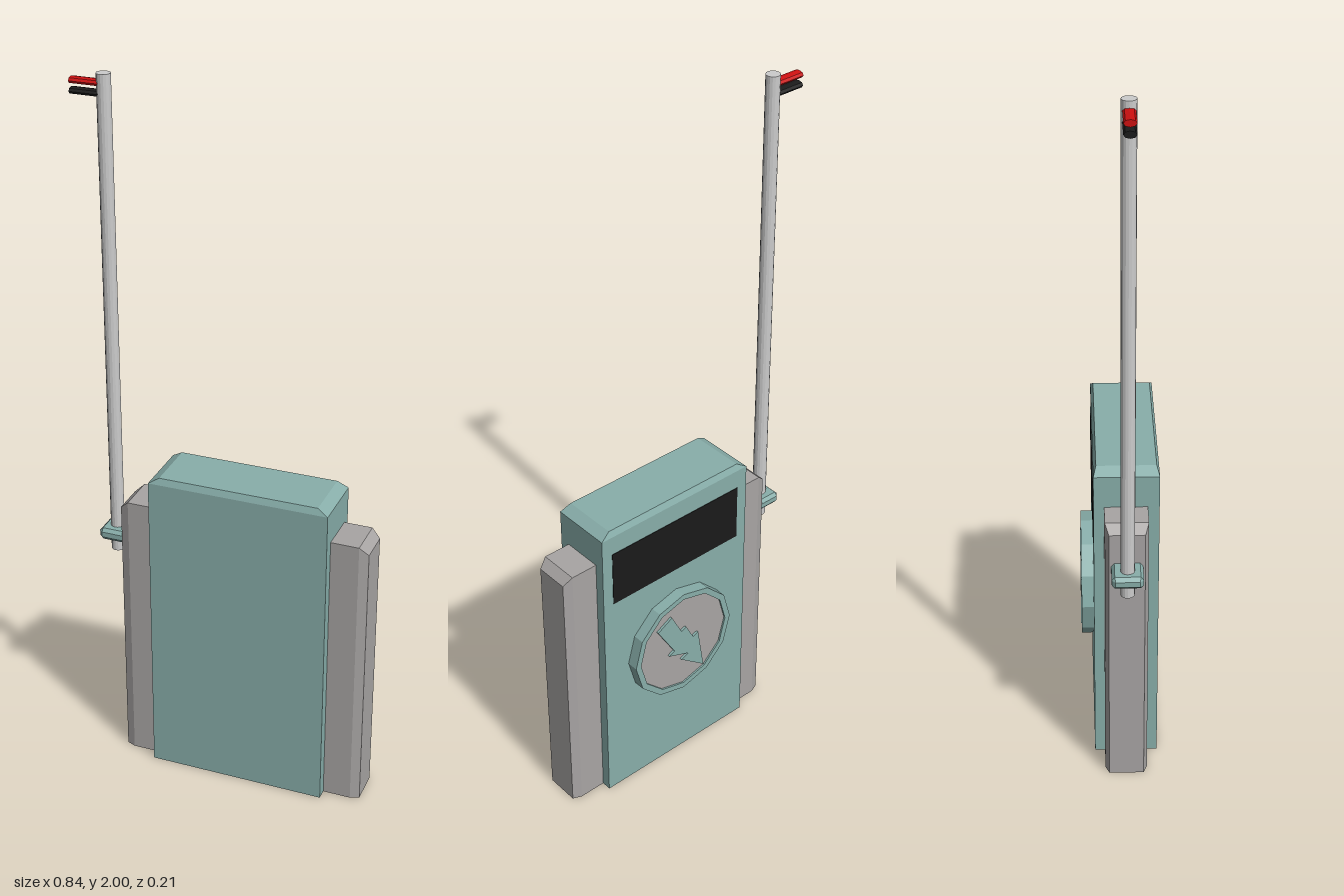
import * as THREE from 'three';
import { ConvexGeometry } from 'three/addons/geometries/ConvexGeometry.js';

const mat = (color) => new THREE.MeshStandardMaterial({ color, flatShading: true });
const teal = mat(0x88aeaa);
const grey = mat(0xa8a5a4);
const metal = mat(0xcccccc);
const black = mat(0x1a1a1a);
const red = mat(0xcc1010);

function add(parent, name, geometry, material, x = 0, y = 0, z = 0) {
  const mesh = new THREE.Mesh(geometry, material);
  mesh.name = name;
  mesh.position.set(x, y, z);
  parent.add(mesh);
  return mesh;
}

// Solid from stacked sections [y, halfX, halfZ, cornerX, cornerZ], corners cut off
function chamferedBlock(sections) {
  const points = [];
  for (const [y, hx, hz, cx = 0, cz = 0] of sections) {
    for (const sx of [-1, 1]) for (const sz of [-1, 1]) {
      points.push(new THREE.Vector3(sx * (hx - cx), y, sz * hz));
      if (cx) points.push(new THREE.Vector3(sx * hx, y, sz * (hz - cz)));
    }
  }
  return new ConvexGeometry(points);
}

const extrude = (shape, depth) =>
  new THREE.ExtrudeGeometry(shape, { depth, bevelEnabled: false });

function polygon(radius, sides) {
  return Array.from({ length: sides }, (_, i) => {
    const a = (i / sides) * Math.PI * 2;
    return new THREE.Vector2(Math.cos(a) * radius, Math.sin(a) * radius);
  });
}

export function createModel() {
  const model = new THREE.Group();
  model.name = 'chargingStation';

  // Cabinet with a chamfered top
  add(model, 'cabinet', chamferedBlock([
    [0, 0.255, 0.0875], [0.912, 0.255, 0.0875], [0.93, 0.225, 0.08],
  ]), teal, 0.06, 0, 0.0165);

  // Lower inner core that shows as a grey panel on both sides
  add(model, 'sidePanels', chamferedBlock([
    [0, 0.3575, 0.058, 0.025, 0.01],
    [0.797, 0.3575, 0.058, 0.025, 0.01],
    [0.82, 0.3325, 0.058],
  ]), grey, 0.0615, 0, 0.015);

  // Display on the back
  add(model, 'display', new THREE.BoxGeometry(0.444, 0.17, 0.004), black, 0.06, 0.77, -0.0705);

  // Round emblem on the back: rim, recessed plate and bolt
  const emblem = new THREE.Group();
  emblem.name = 'emblem';
  emblem.position.set(0.06, 0.44, -0.07);
  emblem.rotation.y = Math.PI;
  model.add(emblem);

  const rim = new THREE.Shape(polygon(0.174, 12));
  rim.holes.push(new THREE.Path(polygon(0.156, 12)));
  add(emblem, 'emblemRim', extrude(rim, 0.034), teal);
  add(emblem, 'emblemPlate', extrude(new THREE.Shape(polygon(0.158, 12)), 0.029), grey);

  const bolt = new THREE.Shape([
    [-0.095, 0.088], [-0.045, 0.116], [-0.01, 0.046], [0.008, 0.052],
    [0.033, 0.002], [0.052, 0.008], [0.073, -0.127], [-0.01, -0.06],
    [0.016, -0.05], [-0.055, -0.022], [-0.036, -0.012],
  ].map(([x, y]) => new THREE.Vector2(x, y)));
  bolt.closePath();
  // the bolt stands just proud of the rim
  add(emblem, 'emblemBolt', extrude(bolt, 0.008), teal, 0, 0, 0.028);

  // Mast held by a clamp bracket on the right side
  const mastX = -0.33, mastZ = 0.015;
  add(model, 'mast', new THREE.CylinderGeometry(0.019, 0.019, 1.365, 16),
    metal, mastX, 0.635 + 1.365 / 2, mastZ);
  add(model, 'mastBracket', chamferedBlock([
    [0.675, 0.032, 0.034],
    [0.685, 0.042, 0.042, 0.01, 0.01],
    [0.7, 0.042, 0.042, 0.01, 0.01],
    [0.71, 0.032, 0.034],
  ]), teal, -0.328, 0, mastZ);

  // Two flattened terminals near the mast top
  for (const [name, material, y] of [['upperTerminal', red, 1.974], ['lowerTerminal', black, 1.947]]) {
    const geometry = new THREE.CylinderGeometry(0.016, 0.016, 0.09, 8);
    geometry.rotateZ(Math.PI / 2).scale(1, 0.58, 1);
    add(model, name, geometry, material, -0.375, y, mastZ);
  }

  return model;
}
